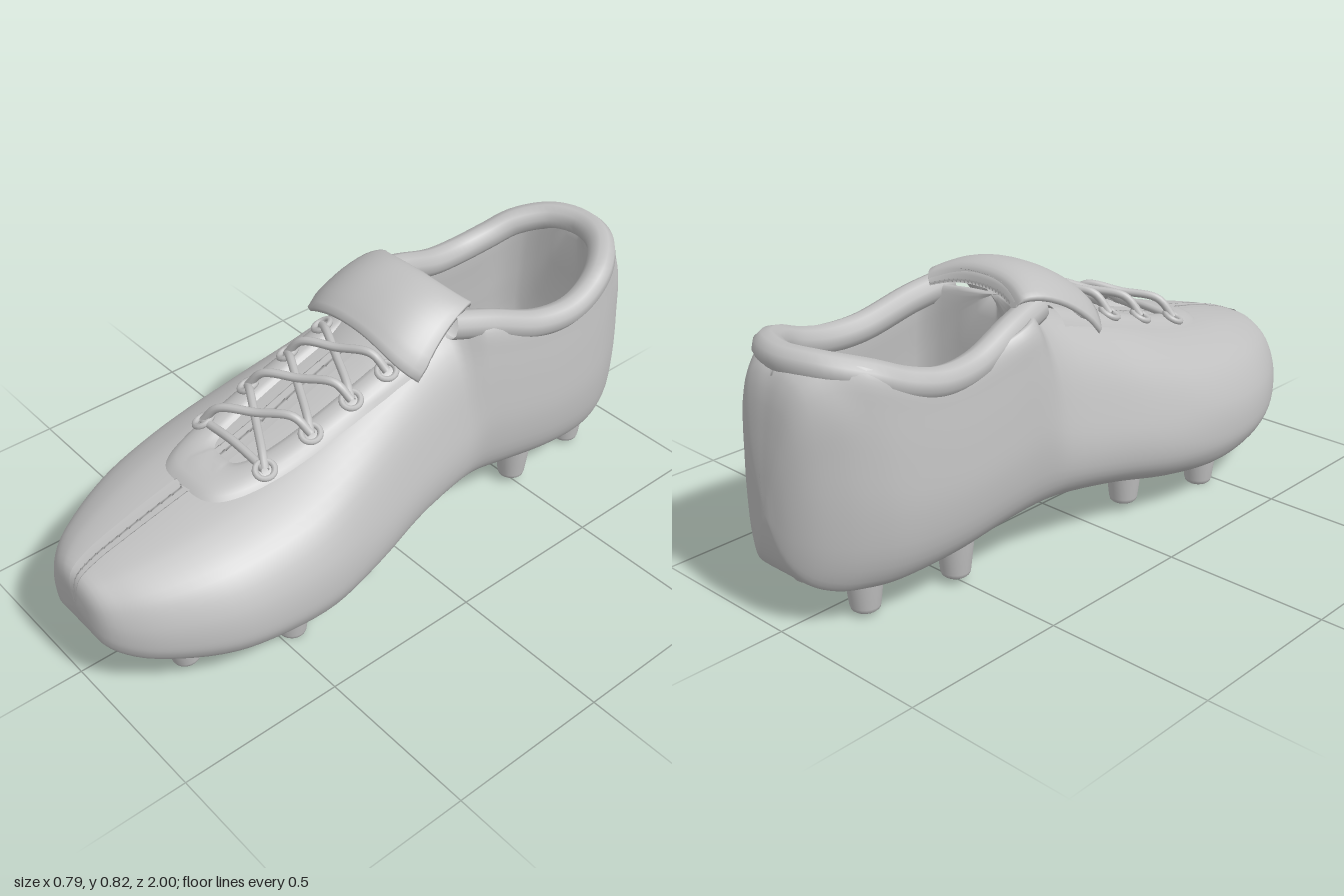
import * as THREE from 'three';
import { mergeVertices } from 'three/addons/utils/BufferGeometryUtils.js';

const V = (x, y, z) => new THREE.Vector3(x, y, z);
const lerp = THREE.MathUtils.lerp;

// Skin a list of equally long point rows
function loft(rows, closed) {
  const n = rows[0].length, pos = [], index = [];
  rows.forEach(r => r.forEach(p => pos.push(p.x, p.y, p.z)));
  for (let i = 0; i < rows.length - 1; i++) {
    for (let j = 0; j < (closed ? n : n - 1); j++) {
      const k = (j + 1) % n, a = i * n + j, b = i * n + k, d = a + n, c = b + n;
      index.push(a, d, b, b, d, c);
    }
  }
  const g = new THREE.BufferGeometry();
  g.setAttribute('position', new THREE.Float32BufferAttribute(pos, 3));
  g.setIndex(index);
  const merged = mergeVertices(g, 1e-5);
  merged.computeVertexNormals();
  return merged;
}

// Half cross-sections: sole centre, side, top, then lining down to the insole
const top4 = [[0, 1], [0, 1], [0, 1], [0, 1]];
const FORE = [[0, 0], [.55, 0], [.88, .01], [.98, .14], [1, .27], [.96, .5], [.8, .76], [.5, .93], [.25, .985], ...top4];
const MID = [[0, 0], [.5, 0], [.8, .02], [.96, .12], [1, .28], [.93, .5], [.79, .75], [.59, .91], [.3, .985], ...top4];
const HEEL = [[0, 0], [.5, 0], [.76, .01], [.93, .12], [1, .35], [.97, .6], [.92, .82], [.88, .95], [.82, 1], [.75, .95], [.77, .6], [.72, .28], [0, .25]];
const BACK = [...HEEL.slice(0, 6), [.9, .82], [.7, .95], [.35, 1], ...top4];
const mix = (a, b, t) => a.map((p, i) => [lerp(p[0], b[i][0], t), lerp(p[1], b[i][1], t)]);

// z, right edge, left edge, sole height, top height, cross-section
const stations = [
  [1, .03, .03, .28, .28, FORE],
  [.985, -.1, .14, .2, .365, FORE],
  [.93, -.19, .215, .165, .395, FORE],
  [.84, -.26, .285, .145, .425, FORE],
  [.7, -.335, .355, .125, .46, FORE],
  [.55, -.38, .385, .115, .488, FORE],
  [.38, -.395, .39, .112, .528, FORE],
  [.2, -.378, .36, .12, .585, mix(FORE, MID, .6)],
  [0, -.335, .315, .15, .65, MID],
  [-.2, -.3, .29, .172, .73, MID],
  [-.28, -.288, .29, .167, .725, mix(MID, HEEL, .9)],
  [-.4, -.272, .295, .148, .685, HEEL],
  [-.55, -.264, .303, .125, .66, HEEL],
  [-.68, -.25, .3, .112, .675, HEEL],
  [-.77, -.232, .285, .108, .71, HEEL],
  [-.83, -.205, .262, .109, .735, mix(BACK, HEEL, .85)],
  [-.89, -.165, .228, .113, .74, BACK],
  [-.95, -.105, .172, .14, .69, BACK],
  [-.985, -.04, .11, .2, .53, BACK],
  [-1, .035, .035, .33, .33, BACK],
];

function bodyGeometry() {
  const loops = stations.map(([z, l, r, yb, yt, prof]) => {
    const cx = (l + r) / 2, h = (r - l) / 2;
    const at = s => ([fx, fy]) => V(cx + s * fx * h, lerp(yb, yt, fy), z);
    return [...prof.map(at(1)), ...prof.slice(1, -1).reverse().map(at(-1))];
  });
  const columns = loops[0].map((_, j) => new THREE.CatmullRomCurve3(loops.map(l => l[j])));
  const rows = [], N = (stations.length - 1) * 4;
  for (let i = 0; i <= N; i++) {
    const ring = new THREE.CatmullRomCurve3(columns.map(c => c.getPoint(i / N)), true);
    rows.push(ring.getPoints(96).slice(0, -1));
  }
  return loft(rows, true);
}

export function createModel() {
  const shoe = new THREE.Group();
  shoe.name = 'studdedShoe';
  const grey = new THREE.MeshStandardMaterial({ color: 0xc0c0c0, side: THREE.DoubleSide });
  grey.name = 'plain grey';
  const add = (name, geo) => {
    const m = new THREE.Mesh(geo, grey);
    m.name = name;
    shoe.add(m);
    return m;
  };
  const tube = (pts, r, seg) => new THREE.TubeGeometry(new THREE.CatmullRomCurve3(pts), seg, r, 10);

  const body = add('upperAndSole', bodyGeometry());
  body.updateMatrixWorld();

  // Height of the upper's surface
  const ray = new THREE.Raycaster();
  const topY = (x, z) => {
    ray.set(V(x, 2, z), V(0, -1, 0));
    const hit = ray.intersectObject(body)[0];
    return hit ? hit.point.y : .6;
  };

  // Padded collar around the ankle opening
  const side = [[.17, .725, -.2], [.195, .695, -.32], [.222, .642, -.48], [.23, .636, -.6], [.215, .658, -.7], [.18, .695, -.79], [.1, .72, -.875]];
  const shift = z => lerp(0, .035, Math.min(1, -z / .75));
  const collar = s => side.map(([x, y, z]) => V(s * x + shift(z), y, z));
  add('collar', tube([...collar(1), V(.035, .724, -.905), ...collar(-1).reverse()], .043, 80));

  // Raised U-shaped lace panel
  const U = (a, hw, z1) => [
    .005 + hw * Math.sign(Math.sin(a)) * Math.sqrt(Math.abs(Math.sin(a))),
    -.1 + (z1 + .1) * Math.sqrt(Math.max(0, Math.cos(a))),
  ];
  const panelRows = [];
  for (let i = 0; i <= 48; i++) {
    const a = lerp(-Math.PI / 2, Math.PI / 2, i / 48), o = U(a, .188, .63), n = U(a, .088, .48);
    const row = [];
    for (let j = 0; j <= 8; j++) {
      const s = j / 8, x = lerp(o[0], n[0], s), z = lerp(o[1], n[1], s);
      row.push(V(x, topY(x, z) - .006 + .026 * Math.sqrt(Math.sin(Math.PI * Math.min(s, .999))), z));
    }
    panelRows.push(row);
  }
  add('lacePanel', loft(panelRows, false));

  // Eyelets and crossed laces
  const rowsZ = [.445, .285, .14, .01];
  const eye = (s, i) => V(.005 + s * .142, topY(s * .142, rowsZ[i]) + .024, rowsZ[i]);
  for (const s of [-1, 1]) {
    rowsZ.forEach((_, i) => {
      const ring = add('eyelet', new THREE.TorusGeometry(.027, .009, 8, 20));
      ring.position.copy(eye(s, i));
      ring.rotation.set(-Math.PI / 2 + .32, s * .35, 0);
      if (i === 3) return;
      const a = eye(s, i), b = eye(-s, i + 1), lift = s < 0 ? .05 : .02;
      const mid = t => a.clone().lerp(b, t).add(V(0, lift, 0));
      add('lace', tube([a, mid(.15), mid(.5), mid(.85), b], .0125, 28));
    });
  }
  const first = [eye(-1, 0), eye(1, 0)];
  add('lace', tube([first[0], first[0].clone().lerp(first[1], .5).add(V(0, .012, 0)), first[1]], .0125, 20));

  // Tongue rising under the flap
  const tongueRows = [];
  for (let i = 0; i <= 10; i++) {
    const t = i / 10, row = [];
    for (let j = 0; j <= 10; j++) {
      const u = j / 5 - 1;
      row.push(V(.005 + u * lerp(.12, .165, t), lerp(.655, .8, t) - .03 * u * u, lerp(.03, -.25, t)));
    }
    tongueRows.push(row);
  }
  add('tongue', loft(tongueRows, false));

  // Folded-over tongue flap, a closed shell with rounded fold
  const spine = new THREE.CatmullRomCurve3([V(0, .775, -.25), V(0, .81, -.238), V(0, .825, -.19), V(0, .81, -.11), V(0, .772, -.035), V(0, .73, .018)]);
  const flapRows = [];
  for (let i = 0; i <= 24; i++) {
    const u = i / 12 - 1, outer = [], inner = [];
    for (let j = 0; j <= 16; j++) {
      const v = j / 16, p = spine.getPoint(v), e = Math.abs(u) ** 2.4;
      const x = -.012 * v + u * lerp(.165, .243, Math.min(1, v * 1.15));
      const y = p.y - e * lerp(.025, .09, v), z = p.z - .035 * e * (1 - v) - .05 * e * e * v;
      outer.push(V(x, y, z));
      inner.unshift(V(x * .98, y - .014, z - .006));
    }
    flapRows.push([...outer, ...inner]);
  }
  const shrink = row => row.map(() => row.reduce((s, p) => s.add(p), V(0, 0, 0)).divideScalar(row.length));
  const cap = row => row.map((p, j) => p.clone().lerp(row[row.length - 1 - j], .5));
  add('tongueFlap', loft([cap(flapRows[0]), ...flapRows, cap(flapRows[24])], true));

  // Tapered studs: x, z, foot height
  const studs = [
    [-.165, .765, .045], [.18, .765, .045], [-.25, .455, 0], [.255, .455, 0], [-.2, .145, .03], [.205, .145, .03],
    [-.14, -.505, .02], [.18, -.505, .02], [-.085, -.785, .012], [.155, -.785, .012],
  ];
  const profile = [[0, 0], [.034, 0], [.04, .005], [.043, .015], [.056, .125], [.056, .15]].map(p => new THREE.Vector2(...p));
  for (const [x, z, y] of studs) {
    const stud = add('stud', new THREE.LatheGeometry(profile, 20));
    stud.position.set(x, y, z);
    stud.rotation.x = z > .7 ? .15 : 0;
  }
  return shoe;
}
